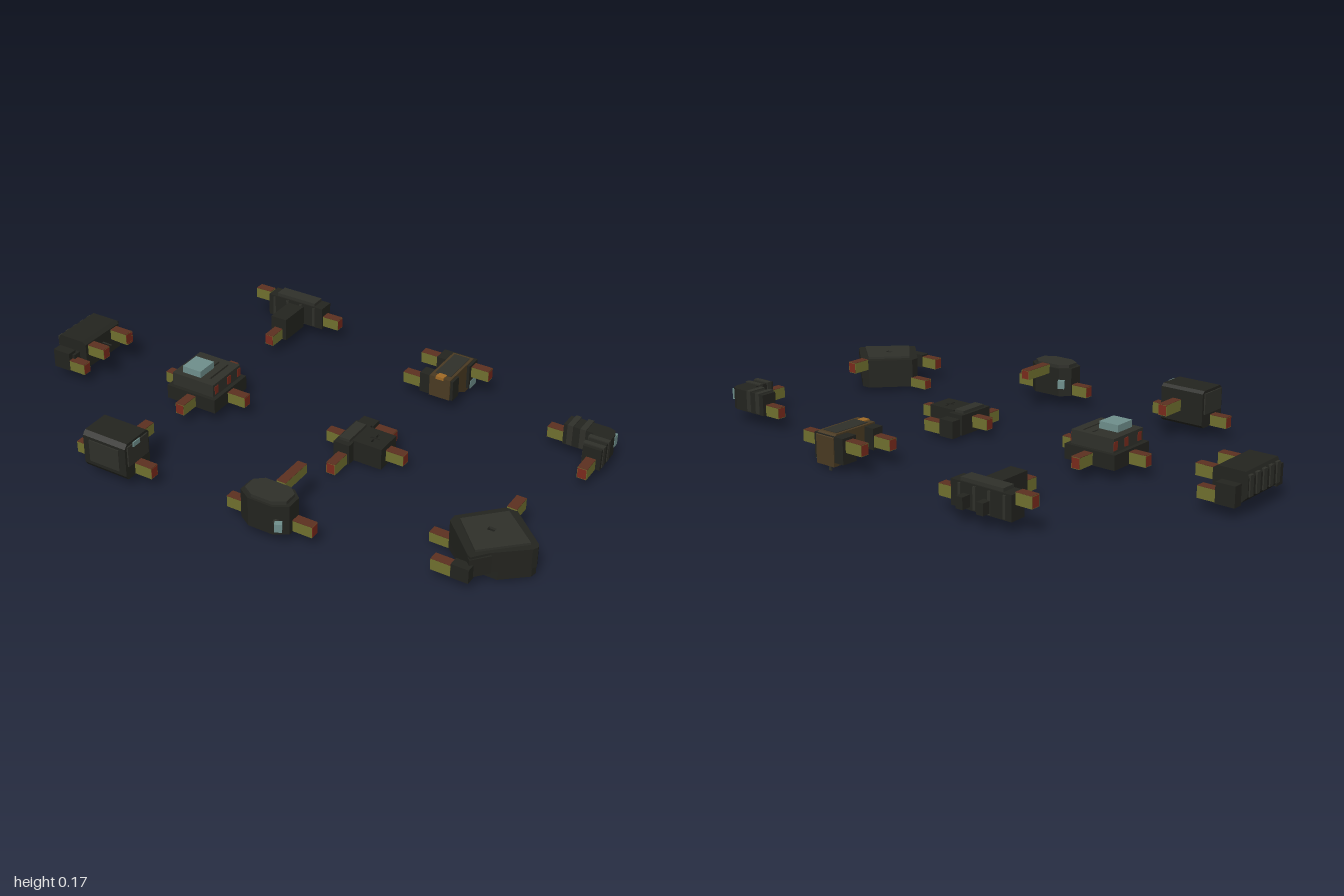
import * as THREE from 'three';

const mat = (color) => new THREE.MeshStandardMaterial({ color, flatShading: true, side: THREE.DoubleSide });
const M = {
  dark: mat(0x23241f), panel: mat(0x2f302a), brown: mat(0x4a3a22), glass: mat(0x6f8f8c),
  olive: mat(0x70702f), rust: mat(0x5c3020), red: mat(0x7a2a1c), orange: mat(0xa06a25),
};

export function createModel() {
  const root = new THREE.Group();
  let g;
  const piece = (name) => { g = new THREE.Group(); g.name = name; root.add(g); };
  const add = (name, geo, m) => {
    const mesh = new THREE.Mesh(geo, m);
    mesh.name = name;
    g.add(mesh);
    return mesh;
  };
  // Box from its bounds
  const box = (name, x0, x1, y0, y1, z0, z1, m = M.dark) => {
    const b = add(name, new THREE.BoxGeometry(x1 - x0, y1 - y0, z1 - z0), m);
    b.position.set((x0 + x1) / 2, (y0 + y1) / 2, (z0 + z1) / 2);
    return b;
  };
  const vecs = (pts, f) => pts.map((p) => new THREE.Vector2(...f(p)));
  // Upright prism over a plan outline of [x, z], with rectangular holes [x0, x1, z0, z1]
  const prism = (name, pts, y0, y1, holes = [], m = M.dark) => {
    const s = new THREE.Shape(vecs(pts, ([x, z]) => [x, -z]));
    for (const [a, b, c, d] of holes)
      s.holes.push(new THREE.Path(vecs([[a, c], [b, c], [b, d], [a, d]], ([x, z]) => [x, -z])));
    const geo = new THREE.ExtrudeGeometry(s, { depth: y1 - y0, bevelEnabled: false });
    geo.rotateX(-Math.PI / 2).translate(0, y0, 0);
    return add(name, geo, m);
  };
  // Side profile of [z, y] swept along x
  const sweepX = (name, pts, x0, x1, m = M.dark) => {
    const geo = new THREE.ExtrudeGeometry(new THREE.Shape(vecs(pts, ([z, y]) => [-z, y])), { depth: x1 - x0, bevelEnabled: false });
    geo.rotateY(Math.PI / 2).translate(x0, 0, 0);
    return add(name, geo, m);
  };
  // Front profile of [x, y] swept along z
  const sweepZ = (name, pts, z0, z1, m = M.dark) => {
    const geo = new THREE.ExtrudeGeometry(new THREE.Shape(vecs(pts, (p) => p)), { depth: z1 - z0, bevelEnabled: false });
    return add(name, geo.translate(0, 0, z0), m);
  };
  // Square connector stub running from a body face at (x, z) along the unit direction (dx, dz)
  const port = (x, z, dx, dz, len, y0 = 0.043, h = 0.04) => {
    const w = 0.017, ex = x + dx * len, ez = z + dz * len;
    const span = (a, b, d) => (d ? [Math.min(a, b), Math.max(a, b)] : [a - w, a + w]);
    const X = span(x, ex, dx), Z = span(z, ez, dz);
    box('connector', ...X, y0, y0 + h, ...Z, M.olive);
    box('connectorTop', ...X, y0 + h - 0.001, y0 + h + 0.001, ...Z, M.rust);
    const cap = (a, d) => (d ? [a - 0.001, a + 0.001] : [a - w * 0.9, a + w * 0.9]);
    box('connectorEnd', ...cap(ex, dx), y0 + 0.002, y0 + h - 0.002, ...cap(ez, dz), M.red);
  };

  // T-shaped junction
  piece('teeJunction');
  box('crossBar', -0.535, -0.3, 0.04, 0.125, -0.61, -0.55);
  box('crossBarCap', -0.5, -0.335, 0.125, 0.137, -0.605, -0.555, M.panel);
  box('neck', -0.425, -0.38, 0.045, 0.11, -0.55, -0.525);
  box('stem', -0.435, -0.37, 0.04, 0.125, -0.53, -0.41);
  for (const x of [-0.4425, -0.3625]) box('rearLug', x - 0.013, x + 0.013, 0.05, 0.09, -0.645, -0.61);
  for (let i = 0; i < 4; i++) box('barRib', -0.515 + i * 0.058, -0.505 + i * 0.058, 0.045, 0.12, -0.615, -0.547, M.panel);
  port(-0.535, -0.575, -1, 0, 0.062, 0.09);
  port(-0.3, -0.575, 1, 0, 0.065, 0.05);
  port(-0.402, -0.41, 0, 1, 0.065);

  // Side-facing room with four connectors
  piece('sideRoom');
  sweepZ('body', [[-0.97, 0.04], [-0.87, 0.04], [-0.87, 0.135], [-0.885, 0.145], [-0.985, 0.145], [-0.995, 0.125], [-0.995, 0.065]], -0.05, 0.14);
  for (let i = 0; i < 5; i++) box('rearRib', -1, -0.98, 0.065, 0.135, -0.045 + i * 0.04, -0.025 + i * 0.04, M.panel);
  for (const s of [-1, 1]) {
    const z = 0.045 + s * 0.125;
    box('endBlock', -0.98, -0.91, 0.04, 0.11, z - 0.018, z + 0.018);
    box('endNeck', -0.97, -0.9, 0.045, 0.1, Math.min(z, 0.045 + s * 0.09), Math.max(z, 0.045 + s * 0.09));
    port(-0.91, z, 1, 0, 0.065);
    port(-0.87, 0.045 + s * 0.065, 1, 0, 0.07, 0.09);
  }
  box('antenna', -0.87, -0.83, 0.1, 0.103, 0.043, 0.046, M.panel);

  // Four-way hub with a raised skylight
  piece('fourWayHub');
  const hub = (x0, x1, z0, z1) => [[x0, z0], [x1, z0], [x1, z1], [x0, z1]];
  const slots = [[-0.358, -0.351, -0.015, 0.095], [-0.396, -0.389, -0.015, 0.018]];
  prism('base', hub(-0.505, -0.305, -0.05, 0.145), 0.04, 0.092, slots);
  prism('upperDeck', hub(-0.49, -0.32, -0.035, 0.13), 0.092, 0.14, slots, M.panel);
  box('foot', -0.435, -0.37, 0.022, 0.04, 0.015, 0.08);
  box('skylight', -0.46, -0.385, 0.14, 0.165, 0.03, 0.11, M.glass);
  for (const z of [-0.025, 0.035, 0.11])
    for (const x of [-0.49, -0.32]) box('sideWindow', x - 0.002, x + 0.002, 0.1, 0.13, z - 0.01, z + 0.01, M.red);
  port(-0.505, 0.048, -1, 0, 0.065);
  port(-0.305, 0.048, 1, 0, 0.07);
  port(-0.402, -0.05, 0, -1, 0.07);
  port(-0.402, 0.145, 0, 1, 0.07);

  // Tall block room
  piece('tallRoom');
  sweepX('body', [[0.5, 0.05], [0.51, 0.04], [0.615, 0.04], [0.625, 0.055], [0.625, 0.16], [0.612, 0.175], [0.51, 0.175], [0.5, 0.165]], -0.485, -0.315);
  for (const x of [-0.485, -0.315]) box('endPanel', x - 0.005, x + 0.005, 0.09, 0.165, 0.51, 0.615, M.panel);
  box('frontPanel', -0.46, -0.34, 0.07, 0.15, 0.624, 0.629, M.panel);
  box('endWindow', -0.31, -0.306, 0.155, 0.172, 0.555, 0.59, M.glass);
  port(-0.49, 0.562, -1, 0, 0.065);
  port(-0.315, 0.562, 1, 0, 0.065);
  port(-0.38, 0.5, 0, -1, 0.09, 0.09);

  // Eight-sided room with slanted pipes
  piece('octagonRoom');
  const oct = (k) => [[-0.09, -0.025], [-0.055, -0.055], [0.055, -0.055], [0.09, -0.025], [0.09, 0.03], [0.045, 0.058], [-0.045, 0.058], [-0.09, 0.03]]
    .map(([x, z]) => [0.195 + x * k, 0.556 + z * k]);
  prism('body', oct(1), 0.04, 0.145);
  prism('roof', oct(0.85), 0.145, 0.157, [], M.panel);
  const pipe = add('crossPipe', new THREE.CylinderGeometry(0.01, 0.01, 0.2, 8), M.panel);
  pipe.rotation.set(Math.PI / 2, 0, -0.83);
  pipe.position.set(0.197, 0.09, 0.56);
  for (const [x, z] of [[0.124, 0.495], [0.27, 0.627]]) {
    const cap = box('pipeCap', x - 0.012, x + 0.012, 0.075, 0.105, z - 0.01, z + 0.01, M.glass);
    cap.rotation.y = 0.5;
  }
  port(0.105, 0.553, -1, 0, 0.065);
  port(0.285, 0.553, 1, 0, 0.07);
  port(0.2, 0.502, 0, -1, 0.125, 0.122, 0.034);

  // Low room with a long side wing
  piece('wingRoom');
  box('sideWing', 0.165, 0.225, 0.012, 0.085, -0.02, 0.13);
  box('wingEnd', 0.165, 0.225, 0.012, 0.075, -0.07, -0.03);
  box('wingLink', 0.175, 0.2, 0.02, 0.07, -0.03, -0.02);
  prism('mainBlock', hub(0.22, 0.33, 0, 0.1), 0.012, 0.09, [[0.262, 0.295, 0.047, 0.053], [0.275, 0.282, 0.025, 0.043], [0.275, 0.282, 0.057, 0.075]]);
  box('wingCap', 0.175, 0.215, 0.085, 0.095, 0, 0.11, M.panel);
  port(0.165, 0.052, -1, 0, 0.065, 0.03);
  port(0.33, 0.052, 1, 0, 0.065, 0.03);
  port(0.225, -0.055, 1, 0, 0.07, 0.02);
  port(0.2, 0.13, 0, 1, 0.075, 0.01);

  // C-shaped room with a sloping underside
  piece('slopedRoom');
  const under = [[-0.35, 0.125], [-0.35, 0.045], [-0.415, 0.045], [-0.475, 0.015], [-0.545, 0.015], [-0.545, 0.115], [-0.53, 0.125]];
  sweepX('body', under, 0.265, 0.345, M.brown);
  box('rearArm', 0.225, 0.355, 0.03, 0.12, -0.542, -0.48);
  box('frontArm', 0.225, 0.355, 0.045, 0.12, -0.4, -0.355);
  box('roofPanel', 0.275, 0.335, 0.122, 0.127, -0.52, -0.375, M.panel);
  box('roofLamp', 0.29, 0.32, 0.118, 0.129, -0.375, -0.348, M.orange);
  box('rearPin', 0.28, 0.29, 0, 0.02, -0.544, -0.538, M.panel);
  box('sideWindow', 0.354, 0.357, 0.025, 0.055, -0.535, -0.49, M.glass);
  port(0.225, -0.512, -1, 0, 0.07, 0.07);
  port(0.355, -0.512, 1, 0, 0.067, 0.07);
  port(0.225, -0.38, -1, 0, 0.07, 0.055);

  // Elbow corridor
  piece('elbow');
  prism('body', [[0.79, -0.375], [0.93, -0.375], [0.95, -0.367], [0.96, -0.345], [0.96, -0.23], [0.895, -0.23], [0.895, -0.315], [0.79, -0.315]], 0.045, 0.122);
  for (const x of [0.805, 0.85]) box('elbowRib', x, x + 0.02, 0.05, 0.126, -0.38, -0.31, M.panel);
  for (const z of [-0.3, -0.26]) box('elbowRib', 0.89, 0.963, 0.05, 0.126, z, z + 0.018, M.panel);
  box('cornerLight', 0.945, 0.962, 0.075, 0.115, -0.365, -0.34, M.glass);
  port(0.79, -0.345, -1, 0, 0.062);
  port(0.927, -0.23, 0, 1, 0.07);

  // Large diamond hall
  piece('diamondHall');
  const hole = [[0.834, 0.858, 0.327, 0.345]];
  prism('upperHall', [[0.715, 0.325], [0.83, 0.205], [0.865, 0.2], [0.995, 0.32], [1, 0.335], [0.99, 0.352], [0.89, 0.435], [0.85, 0.485], [0.835, 0.475], [0.715, 0.355]], 0.045, 0.118, hole);
  prism('lowerHall', [[0.715, 0.325], [0.83, 0.205], [0.865, 0.205], [0.995, 0.325], [0.99, 0.347], [0.91, 0.415], [0.785, 0.415], [0.715, 0.355]], 0.012, 0.045, hole);
  prism('roof', [[0.74, 0.338], [0.85, 0.225], [0.975, 0.335], [0.85, 0.455]], 0.118, 0.126, hole, M.panel);
  prism('cornerStub', [[0.86, 0.42], [0.898, 0.435], [0.85, 0.49], [0.82, 0.46]], 0.045, 0.11);
  box('stubBlock', 0.8, 0.86, 0.04, 0.09, 0.475, 0.51);
  port(0.72, 0.338, -1, 0, 0.073, 0.012, 0.035);
  port(0.85, 0.205, 0, -1, 0.07, 0.083);
  port(0.8, 0.494, -1, 0, 0.067);

  return root;
}
